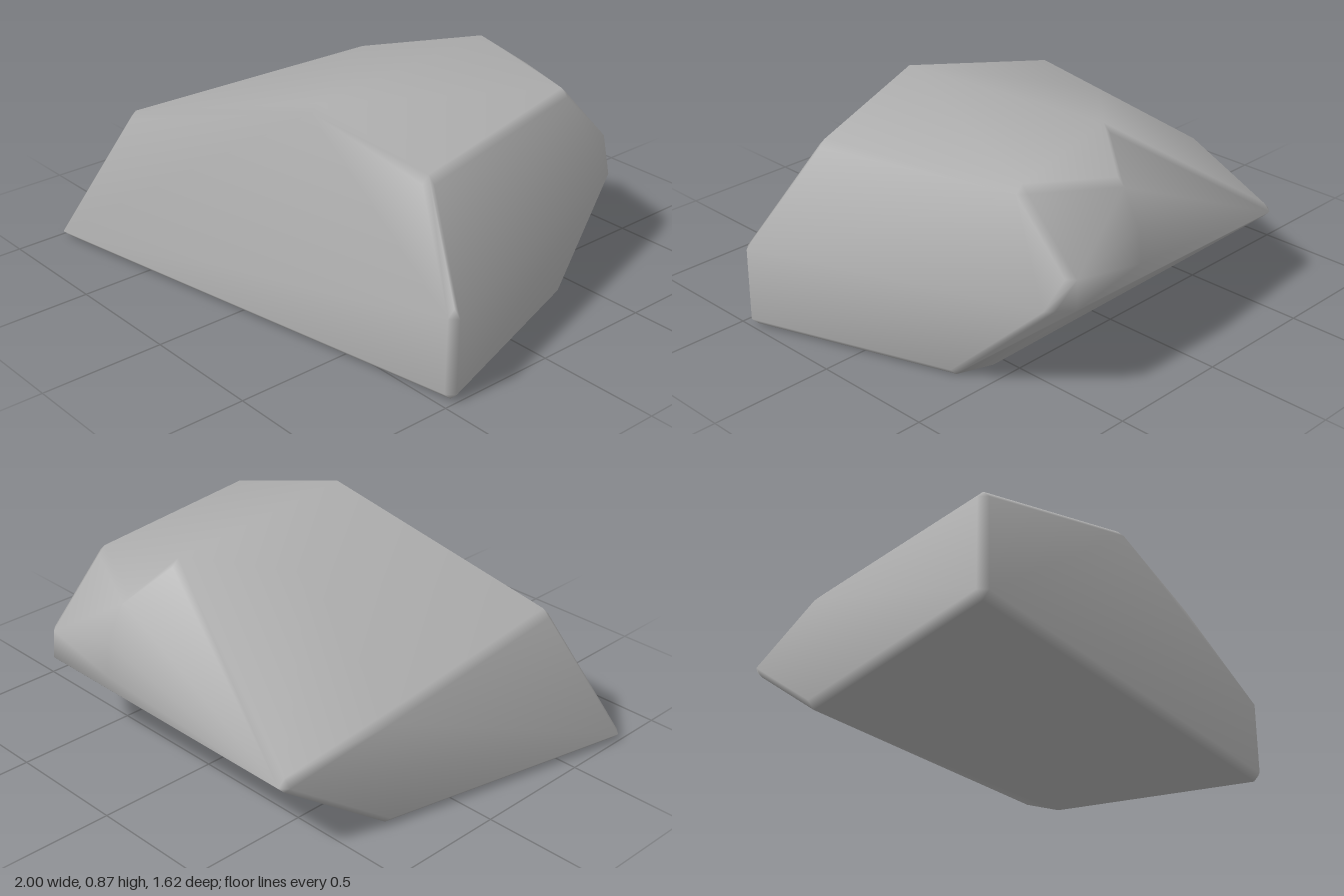
import * as THREE from 'three';
import { ConvexGeometry } from 'three/addons/geometries/ConvexGeometry.js';
import { mergeVertices } from 'three/addons/utils/BufferGeometryUtils.js';

// Main corners of the boulder, before the edges are worn round
const CORNERS = [
  // flat base
  [-0.967, 0.035, 0.778], [0.967, 0.035, 0.445], [0.69, 0.035, -0.365],
  [0.55, 0.035, -0.415], [-0.74, 0.035, -0.29],
  // waist: right front, right back, back, left back, left
  [0.97, 0.335, 0.44], [0.595, 0.385, -0.735], [0.535, 0.385, -0.78], [0.2, 0.44, -0.78],
  [-0.655, 0.32, -0.715], [-0.735, 0.44, -0.29],
  // back shoulder
  [0.53, 0.5, -0.775], [0.2, 0.57, -0.765], [0.2, 0.71, -0.69],
  // front rim of the top
  [-0.745, 0.55, 0.563], [0.2, 0.835, 0.395], [0.7, 0.705, 0.315],
  // crown
  [0.53, 0.745, -0.54], [0.1, 0.84, -0.53], [-0.24, 0.78, -0.2], [-0.44, 0.68, 0.06],
];
const WEAR = 0.03; // radius of the worn edges

function createBoulder() {
  // a small octahedron at each corner bevels every edge of the hull
  const points = [];
  for (const [x, y, z] of CORNERS) {
    for (const s of [-WEAR, WEAR]) {
      points.push(
        new THREE.Vector3(x + s, y, z),
        new THREE.Vector3(x, y + s, z),
        new THREE.Vector3(x, y, z + s),
      );
    }
  }
  // weld the hull so that the shading runs smoothly over the bevels
  const hull = new ConvexGeometry(points);
  hull.deleteAttribute('normal');
  const welded = mergeVertices(hull, 1e-4);
  welded.computeVertexNormals();
  return welded;
}

export function createModel() {
  const stone = new THREE.MeshStandardMaterial({ color: 0xaeaeae });
  stone.name = 'grey stone';

  const boulder = new THREE.Mesh(createBoulder(), stone);
  boulder.name = 'boulder';

  const model = new THREE.Group();
  model.name = 'rock';
  model.add(boulder);
  return model;
}
